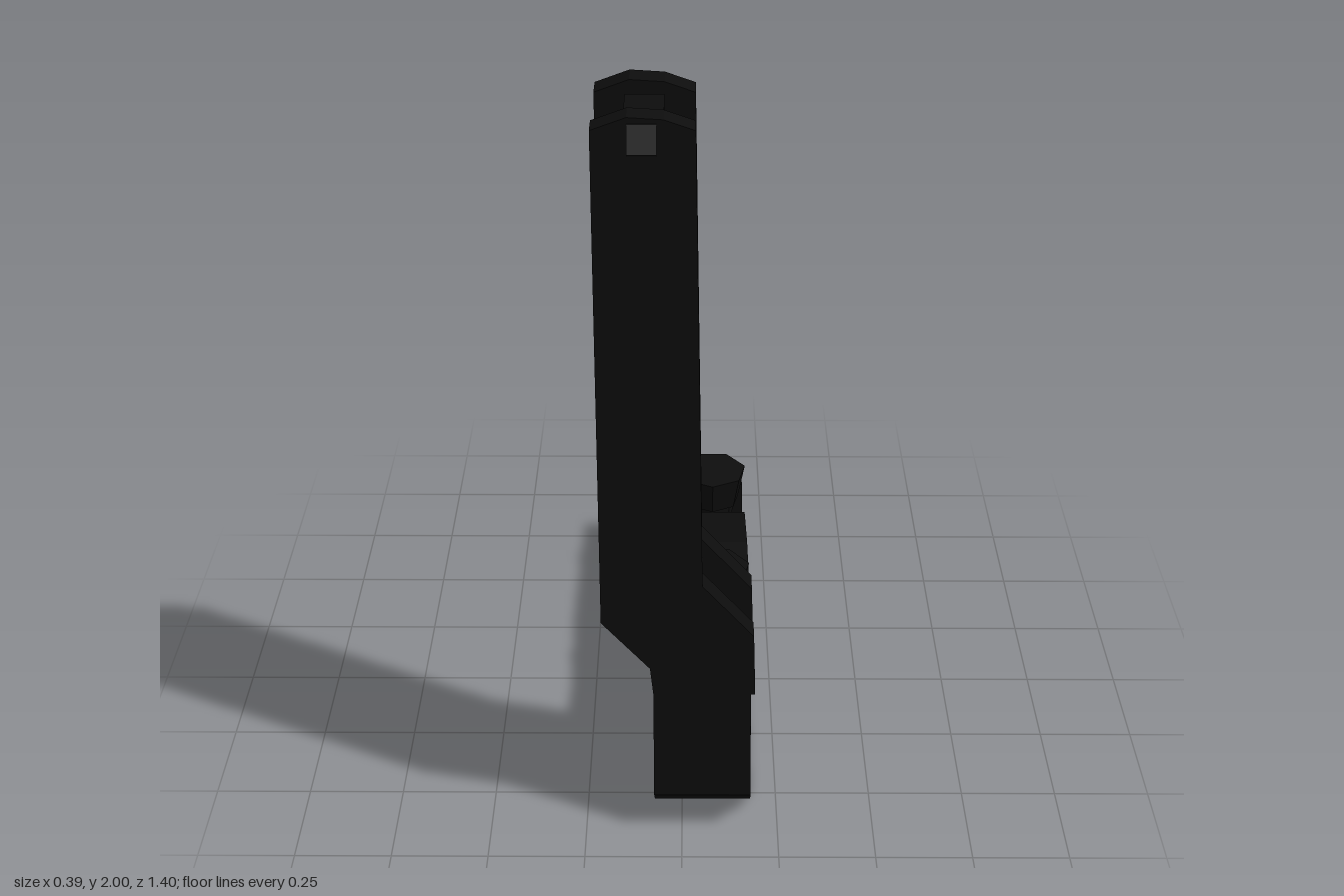
import * as THREE from 'three';

const material = new THREE.MeshStandardMaterial({ color: 0x0d0d0d, flatShading: true });

function extrude(points, depth, steps = 1) {
  const shape = new THREE.Shape(points.map(([a, b]) => new THREE.Vector2(a, b)));
  return new THREE.ExtrudeGeometry(shape, { depth, steps, bevelEnabled: false });
}

// Front outline [x, y] extruded from z0 to z1
const alongZ = (points, z0, z1) => extrude(points, z1 - z0).translate(0, 0, z0);

// Side outline [z, y] extruded from x0 to x1
const alongX = (points, x0, x1, steps) =>
  extrude(points, x1 - x0, steps).rotateY(-Math.PI / 2).translate(x1, 0, 0);

function reshape(geometry, rule) {
  const p = geometry.attributes.position;
  const v = new THREE.Vector3();
  for (let i = 0; i < p.count; i++) {
    rule(v.fromBufferAttribute(p, i));
    p.setXYZ(i, v.x, v.y, v.z);
  }
  geometry.computeVertexNormals();
  return geometry;
}

export function createModel() {
  const group = new THREE.Group();
  const add = (name, geometry, parent = group) => {
    const mesh = new THREE.Mesh(geometry, material);
    mesh.name = name;
    parent.add(mesh);
    return mesh;
  };

  // Underside and fillet shared by both halves of the foot
  const underside = [[-0.69, 0], [0.5, 0], [0.57, 0.04], [0.65, 0.12], [0.655, 0.45]];
  const fillet = [[0.39, 0.45], [0.375, 0.42], [0.33, 0.36], [0.29, 0.34], [0.2, 0.33]];
  const boltZ = [0.06, -0.46];

  // Solid half of the foot, with two bolt pockets open to the top and side
  const pockets = boltZ.flatMap((z) => [[z + 0.08, 0.33], [z + 0.08, 0.2], [z - 0.08, 0.2], [z - 0.08, 0.33]]);
  pockets.splice(4, 0, [-0.2, 0.342]);
  const plate = alongX([
    ...underside, [0.595, 0.45], [0.595, 0.4], [0.455, 0.4], [0.455, 0.45],
    ...fillet, ...pockets, [-0.7, 0.33],
  ], 0, 0.19, 6);
  add('footPlate', reshape(plate, (v) => {
    if (v.z < -0.65 && v.x > 0.06) v.z += 0.06 * ((v.x - 0.06) / 0.13) ** 2;
    if (v.x > 0.18) v.x -= 0.03 * v.z * v.z + 0.012 * Math.max(0, v.y - 0.12);
  }));

  // Hollow half of the foot: a rim that opens upward into the post channel
  add('footRim', alongX([
    ...underside, [0.595, 0.45], [0.595, 0.14], [0.5, 0.05], [-0.65, 0.05], [-0.65, 0.285],
    [0.25, 0.285], [0.37, 0.33], [0.44, 0.4], [0.455, 0.45], ...fillet, [-0.2, 0.342], [-0.7, 0.33],
  ], -0.072, 0));

  // Diagonal bracing in the hollow side
  const braces = new THREE.Group();
  braces.name = 'braces';
  group.add(braces);
  const nodes = [[-0.65, 0.05], [-0.4, 0.285], [-0.16, 0.05], [0.07, 0.285], [0.29, 0.05], [0.45, 0.4]];
  for (let i = 0; i < nodes.length - 1; i++) {
    const [z0, y0] = nodes[i], [z1, y1] = nodes[i + 1];
    const bar = add('brace', new THREE.BoxGeometry(0.06, 0.03, Math.hypot(z1 - z0, y1 - y0)), braces);
    bar.position.set(-0.03, (y0 + y1) / 2, (z0 + z1) / 2);
    bar.rotation.x = -Math.atan2(y1 - y0, z1 - z0);
  }

  // Post flanges, cranked sideways above the foot and flaring slightly upward
  const flange = [
    [-0.072, 0.45], [0.184, 0.45], [0.178, 0.63], [0.05, 0.78], [0.03, 1.97],
    [-0.04, 1.995], [-0.12, 2], [-0.2, 1.97], [-0.2, 0.67], [-0.08, 0.53],
  ];
  for (const [name, z0, z1, side] of [['frontFlange', 0.595, 0.655, 1], ['backFlange', 0.39, 0.455, -1]]) {
    add(name, reshape(alongZ(flange, z0, z1), (v) => { v.z += side * 0.01 * (v.y - 0.45); }));
  }

  // Web joining the flanges, leaving a groove on each side
  add('postWeb', alongZ([
    [0, 0.38], [0.09, 0.38], [0.09, 0.58], [-0.04, 0.73], [-0.04, 1.97], [-0.13, 1.97],
    [-0.13, 0.66], [0, 0.5],
  ], 0.45, 0.61));

  // Snap knobs at the top of the post
  add('frontKnob', alongX([[0.65, 1.99], [0.672, 1.985], [0.7, 1.925], [0.68, 1.915], [0.65, 1.91]], -0.12, -0.055));
  add('backKnob', alongX([[0.4, 1.99], [0.37, 1.985], [0.35, 1.93], [0.36, 1.92], [0.4, 1.91]], -0.12, -0.055));

  // Bolts sitting in the pockets
  for (const z of boltZ) {
    const bolt = new THREE.Group();
    bolt.name = 'bolt';
    bolt.position.set(0.087, 0, z);
    group.add(bolt);
    add('boltShank', new THREE.CylinderGeometry(0.065, 0.06, 0.14, 7), bolt).position.y = 0.265;
    add('boltHead', new THREE.CylinderGeometry(0.1, 0.08, 0.1, 7), bolt).position.y = 0.38;
  }
  return group;
}
